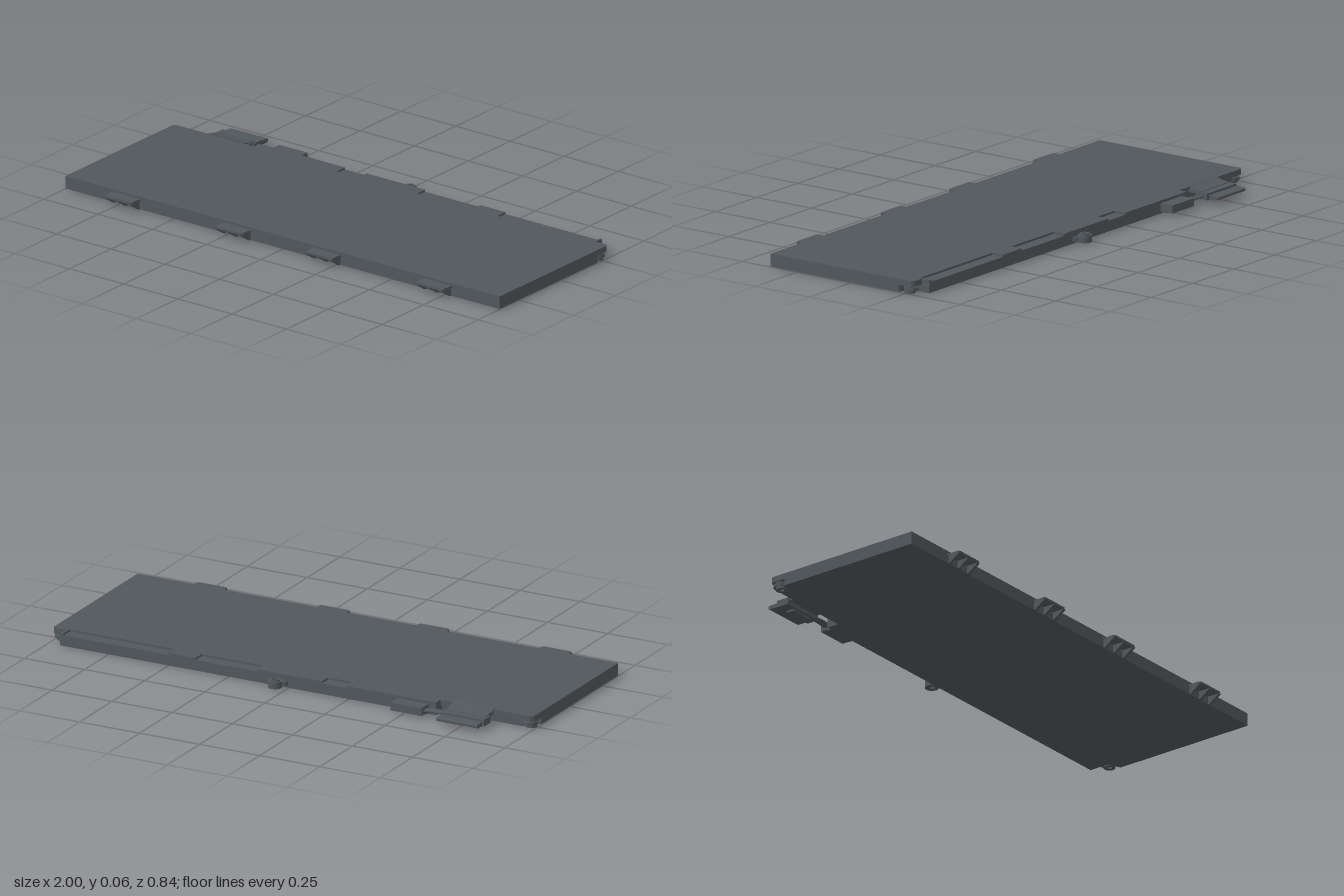
import * as THREE from 'three';

const dark = new THREE.MeshStandardMaterial({ color: 0x50575b });

function add(parent, name, geometry, x = 0, y = 0, z = 0) {
  const mesh = new THREE.Mesh(geometry, dark);
  mesh.name = name;
  mesh.position.set(x, y, z);
  parent.add(mesh);
  return mesh;
}

// Box given by its limits on each axis
function block(parent, name, x0, x1, y0, y1, z0, z1) {
  return add(parent, name, new THREE.BoxGeometry(x1 - x0, y1 - y0, z1 - z0),
    (x0 + x1) / 2, (y0 + y1) / 2, (z0 + z1) / 2);
}

// Plan outline of [x, z] points, extruded from y0 up to y1
function slab(parent, name, outline, y0, y1) {
  const shape = new THREE.Shape(outline.map(([x, z]) => new THREE.Vector2(x, z)));
  const g = new THREE.ExtrudeGeometry(shape, { depth: y1 - y0, bevelEnabled: false });
  g.rotateX(Math.PI / 2);
  return add(parent, name, g, 0, y1, 0);
}

// Side profile of [z, y] points, extruded along x and centred on it
function sideProfile(points, width) {
  const shape = new THREE.Shape(points.map(([z, y]) => new THREE.Vector2(-z, y)));
  const g = new THREE.ExtrudeGeometry(shape, { depth: width, bevelEnabled: false });
  g.translate(0, 0, -width / 2);
  g.rotateY(Math.PI / 2);
  return g;
}

// Upright ring with a screw hole
function screwRing(parent, name, x, z, y0, y1, outer, inner) {
  const pts = [[inner, 0], [outer, 0], [outer, y1 - y0], [inner, y1 - y0], [inner, 0]];
  const g = new THREE.LatheGeometry(pts.map(([r, y]) => new THREE.Vector2(r, y)), 24).toNonIndexed();
  g.computeVertexNormals();
  return add(parent, name, g, x, y0, z);
}

export function createModel() {
  const model = new THREE.Group();
  model.name = 'batteryPack';

  // Case in three layers: undercut corners, full lid, recessed top skin
  const body = new THREE.Group();
  body.name = 'case';
  model.add(body);
  slab(body, 'lowerCase', [
    [-1, 0.37], [1, 0.37], [1, -0.22], [0.95, -0.24], [0.95, -0.32],
    [-0.615, -0.32], [-0.615, -0.272], [-0.95, -0.272], [-0.95, -0.24], [-1, -0.22],
  ], 0.005, 0.032);
  const lid = (recesses) => [
    [-1, 0.37], [1, 0.37], [1, -0.275], [0.99, -0.285], [0.945, -0.285], [0.945, -0.32],
    ...recesses.flatMap(([a, b]) => [[b, -0.32], [b, -0.272], [a, -0.272], [a, -0.32]]),
    [-0.615, -0.32], [-0.615, -0.285], [-0.99, -0.285], [-1, -0.275],
  ];
  slab(body, 'upperCase', lid([]), 0.032, 0.046);
  slab(body, 'topSkin', lid([[0.5, 0.935], [0.13, 0.385], [-0.24, -0.14]]), 0.046, 0.054);

  // Hollow wedge tabs along the front edge: plate on three ribs
  for (const x of [-0.72, -0.21, 0.205, 0.715]) {
    const tab = new THREE.Group();
    tab.name = 'frontTab';
    tab.position.x = x;
    model.add(tab);
    slab(tab, 'tabPlate', [
      [-0.068, 0.365], [0.068, 0.365], [0.062, 0.38], [0.062, 0.414], [0.056, 0.42],
      [-0.056, 0.42], [-0.062, 0.414], [-0.062, 0.38],
    ], 0.036, 0.044);
    for (const rx of [-0.056, 0, 0.056]) {
      const rib = sideProfile([[0.365, 0.005], [0.376, 0.005], [0.42, 0.036], [0.365, 0.036]], 0.012);
      add(tab, 'tabRib', rib, rx);
    }
  }

  // Screw mounts under the two rear corners
  for (const s of [-1, 1]) {
    const mount = new THREE.Group();
    mount.name = 'cornerMount';
    model.add(mount);
    screwRing(mount, 'screwBoss', s * 0.975, -0.252, 0.003, 0.032, 0.022, 0.01);
    screwRing(mount, 'screwFlange', s * 0.972, -0.257, 0.014, 0.026, 0.028, 0.01);
    block(mount, 'mountWeb', s * 0.96 - 0.012, s * 0.96 + 0.012, 0.012, 0.028, -0.24, -0.225);
  }

  // Screw lug at the middle of the rear edge
  const lug = new THREE.Group();
  lug.name = 'rearLug';
  model.add(lug);
  slab(lug, 'lugBase', [
    [-0.002, -0.31], [0.082, -0.31], [0.075, -0.33], [0.062, -0.338], [0.018, -0.338], [0.005, -0.33],
  ], 0.014, 0.03);
  screwRing(lug, 'lugRing', 0.04, -0.347, 0.01, 0.036, 0.026, 0.011);
  screwRing(lug, 'lugCollar', 0.04, -0.347, 0.036, 0.042, 0.019, 0.011);

  // Cable outlet, cable and plug at the rear
  const connector = new THREE.Group();
  connector.name = 'connector';
  model.add(connector);
  block(connector, 'cableOutlet', -0.585, -0.455, 0.014, 0.044, -0.375, -0.315);
  block(connector, 'outletStep', -0.585, -0.46, 0.01, 0.03, -0.345, -0.31);
  for (let i = 0; i < 5; i++) {
    const z = -0.358 + i * 0.006;
    const curve = new THREE.CatmullRomCurve3([
      new THREE.Vector3(-0.58, 0.028, z), new THREE.Vector3(-0.625, 0.031, z + 0.002),
      new THREE.Vector3(-0.68, 0.03, z),
    ]);
    add(connector, 'wire', new THREE.TubeGeometry(curve, 12, 0.004, 8));
  }
  block(connector, 'plugBody', -0.845, -0.665, 0.018, 0.044, -0.375, -0.325);
  block(connector, 'plugFoot', -0.8, -0.7, 0.01, 0.02, -0.365, -0.335);
  block(connector, 'plugNeck', -0.83, -0.68, 0.026, 0.034, -0.39, -0.37);
  add(connector, 'plugTip', sideProfile([
    [-0.38, 0.022], [-0.412, 0.022], [-0.42, 0.026], [-0.42, 0.034], [-0.412, 0.037], [-0.38, 0.038],
  ], 0.17), -0.755);

  // Thin pull flap lifting off the lid above the plug
  add(connector, 'pullFlap', sideProfile([
    [-0.278, 0.06], [-0.298, 0.054], [-0.345, 0.046], [-0.345, 0.043], [-0.298, 0.051], [-0.278, 0.057],
  ], 0.165), -0.755);
  block(connector, 'flapBase', -0.835, -0.672, 0.034, 0.046, -0.33, -0.28);
  return model;
}
